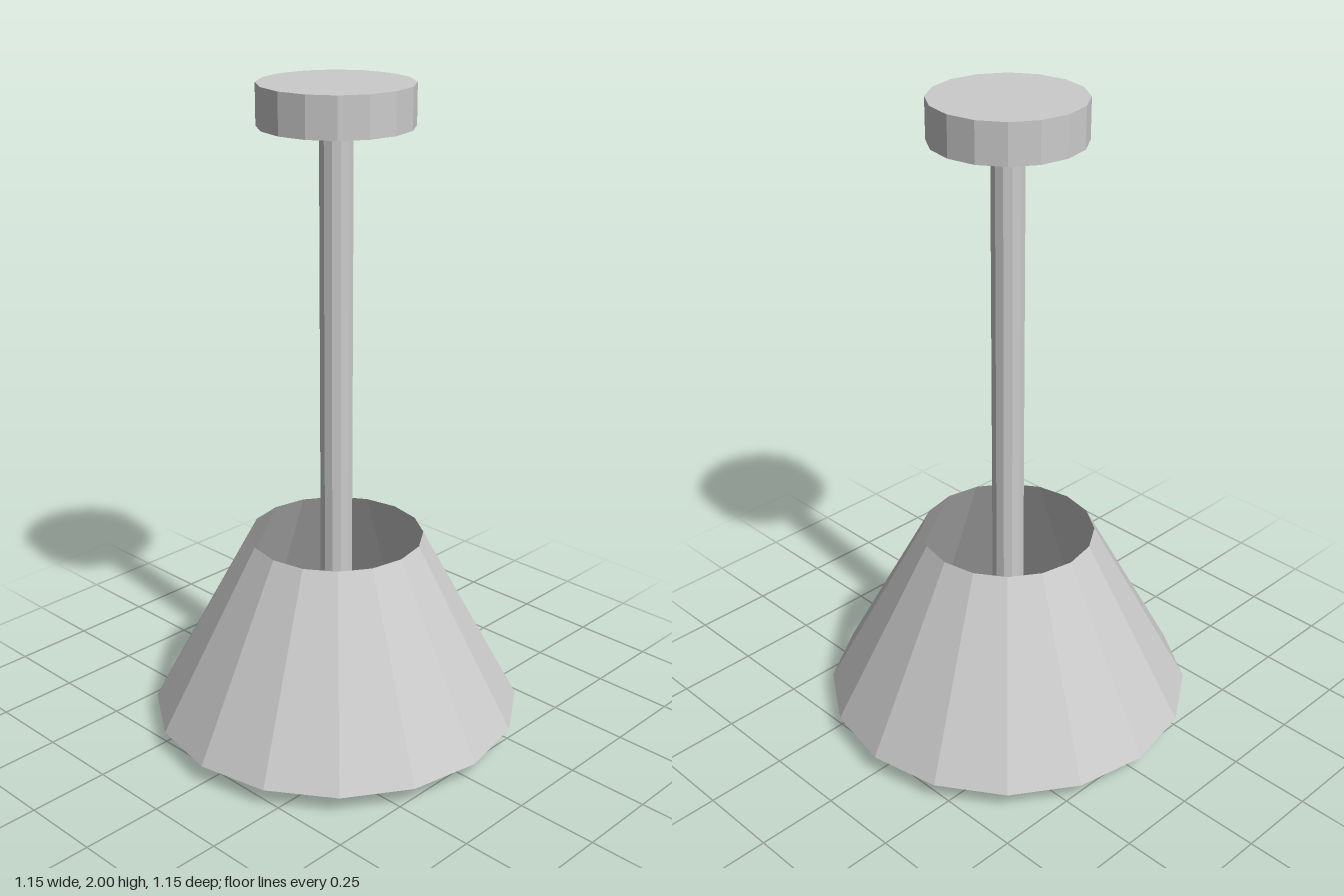
import * as THREE from 'three';

export function createModel() {
  const lamp = new THREE.Group();
  lamp.name = 'pendantLamp';

  const metal = new THREE.MeshStandardMaterial({ color: 0xcccccc, flatShading: true });
  const shadeMetal = new THREE.MeshStandardMaterial({
    color: 0xcccccc, flatShading: true, side: THREE.DoubleSide,
  });
  const glow = new THREE.MeshStandardMaterial({ color: 0xffeecc, flatShading: true });

  const addPart = (name, geometry, material, y) => {
    const mesh = new THREE.Mesh(geometry, material);
    mesh.name = name;
    mesh.position.y = y;
    lamp.add(mesh);
  };

  // Upright faceted tube or cone between two heights
  const addRound = (name, topRadius, bottomRadius, bottom, top, sides, material, open = false) =>
    addPart(
      name,
      new THREE.CylinderGeometry(topRadius, bottomRadius, top - bottom, sides, 1, open),
      material,
      (top + bottom) / 2,
    );

  // Ceiling plate, hanging rod and open conical shade
  addRound('ceilingPlate', 0.225, 0.225, 1.88, 2, 16, metal);
  addRound('rod', 0.05, 0.05, 0.29, 1.88, 12, metal);
  addRound('shade', 0.268, 0.573, 0.06, 0.63, 16, shadeMetal, true);

  // Faceted bulb peeking out below the shade
  addPart('bulb', new THREE.IcosahedronGeometry(0.15, 1), glow, 0.15);

  return lamp;
}
